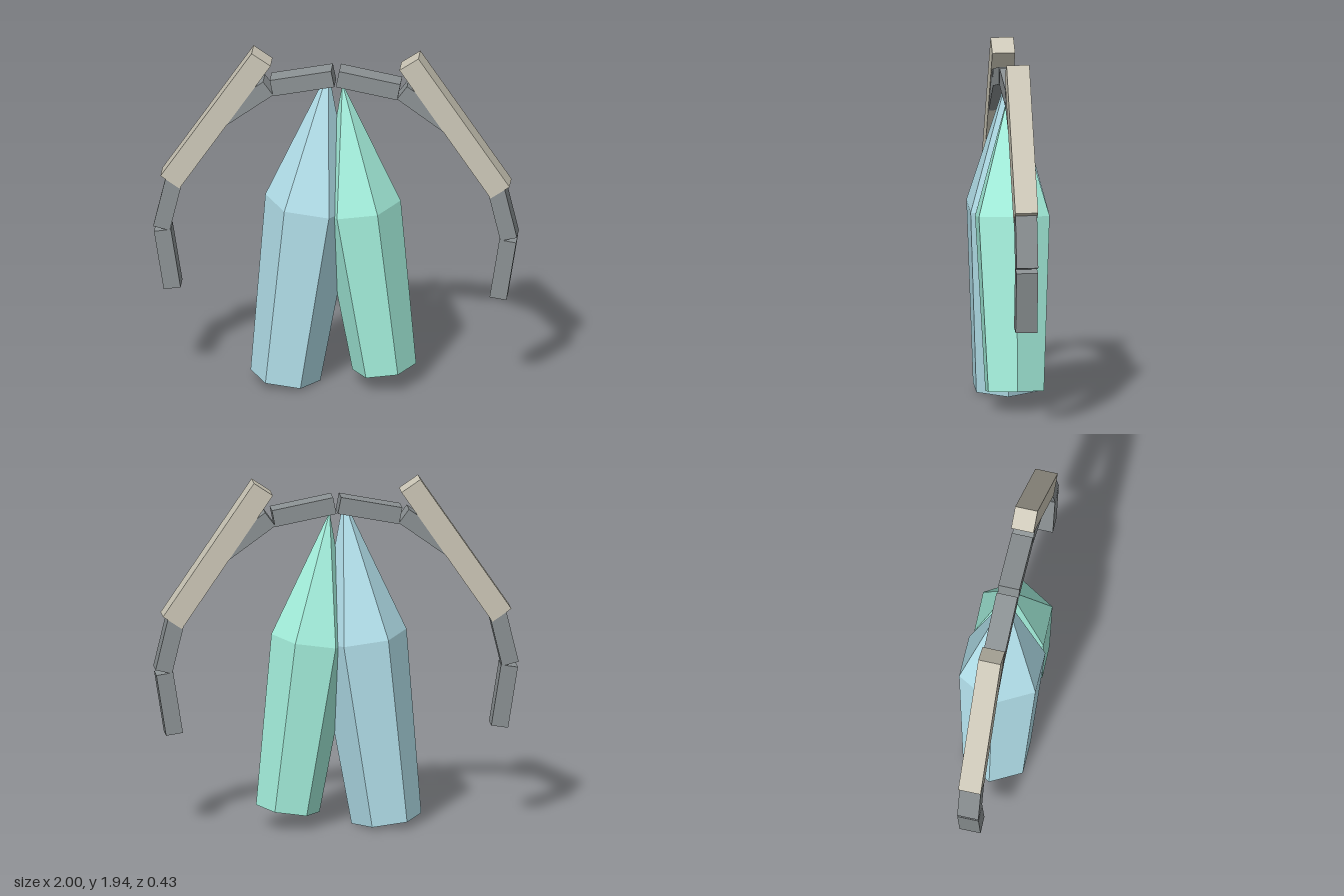
import * as THREE from 'three';

const mat = (color) => new THREE.MeshStandardMaterial({ color, flatShading: true });
const blue = mat(0xb5e3ee), green = mat(0xa6f2df), beige = mat(0xcdc8b8), grey = mat(0x8c9294);

// Six-sided crystal standing on its base centre, leaning by tilt
function crystal(name, material, x, y, tilt, rBase, rShoulder, hBody, hTip) {
  const group = new THREE.Group();
  group.name = name;
  const body = new THREE.Mesh(
    new THREE.CylinderGeometry(rShoulder, rBase, hBody, 6, 1, false, Math.PI / 2), material);
  body.name = name + 'Body';
  body.position.y = hBody / 2;
  const tip = new THREE.Mesh(
    new THREE.ConeGeometry(rShoulder, hTip, 6, 1, true, Math.PI / 2), material);
  tip.name = name + 'Tip';
  tip.position.y = hBody + hTip / 2;
  group.add(body, tip);
  group.position.set(x, y, 0);
  group.rotation.z = tilt;
  return group;
}

// Bar centred on (x, y), its length turned by an angle in degrees
function bar(name, material, x, y, degrees, length, thickness, depth) {
  const mesh = new THREE.Mesh(new THREE.BoxGeometry(length, thickness, depth), material);
  mesh.name = name;
  mesh.position.set(x, y, 0);
  mesh.rotation.z = THREE.MathUtils.degToRad(degrees);
  return mesh;
}

export function createModel() {
  const model = new THREE.Group();
  model.name = 'crystalPendant';

  // Two crystals leaning together at their points
  model.add(
    crystal('largeCrystal', blue, -0.278, 0.026, -0.13, 0.194, 0.248, 1.04, 0.78),
    crystal('smallCrystal', green, 0.266, 0.095, 0.138, 0.177, 0.225, 0.96, 0.717));

  // Chain links of one half of the arch: x, y, angle
  const links = [
    [0.182, 1.77, -11],
    [0.508, 1.634, -36],
    [0.758, 1.372, -55],
    [0.916, 1.058, -76.5],
    [0.924, 0.709, -99],
  ];
  for (const side of [1, -1]) {
    const half = new THREE.Group();
    half.name = side > 0 ? 'leftChain' : 'rightChain';
    links.forEach(([x, y, a], i) =>
      half.add(bar('link' + (i + 1), grey, side * x, y, side * a, 0.344, 0.094, 0.119)));
    // Long plate laid over the links
    half.add(bar('plate', beige, side * 0.658, 1.535, side * -55.8, 0.893, 0.126, 0.126));
    model.add(half);
  }
  return model;
}
